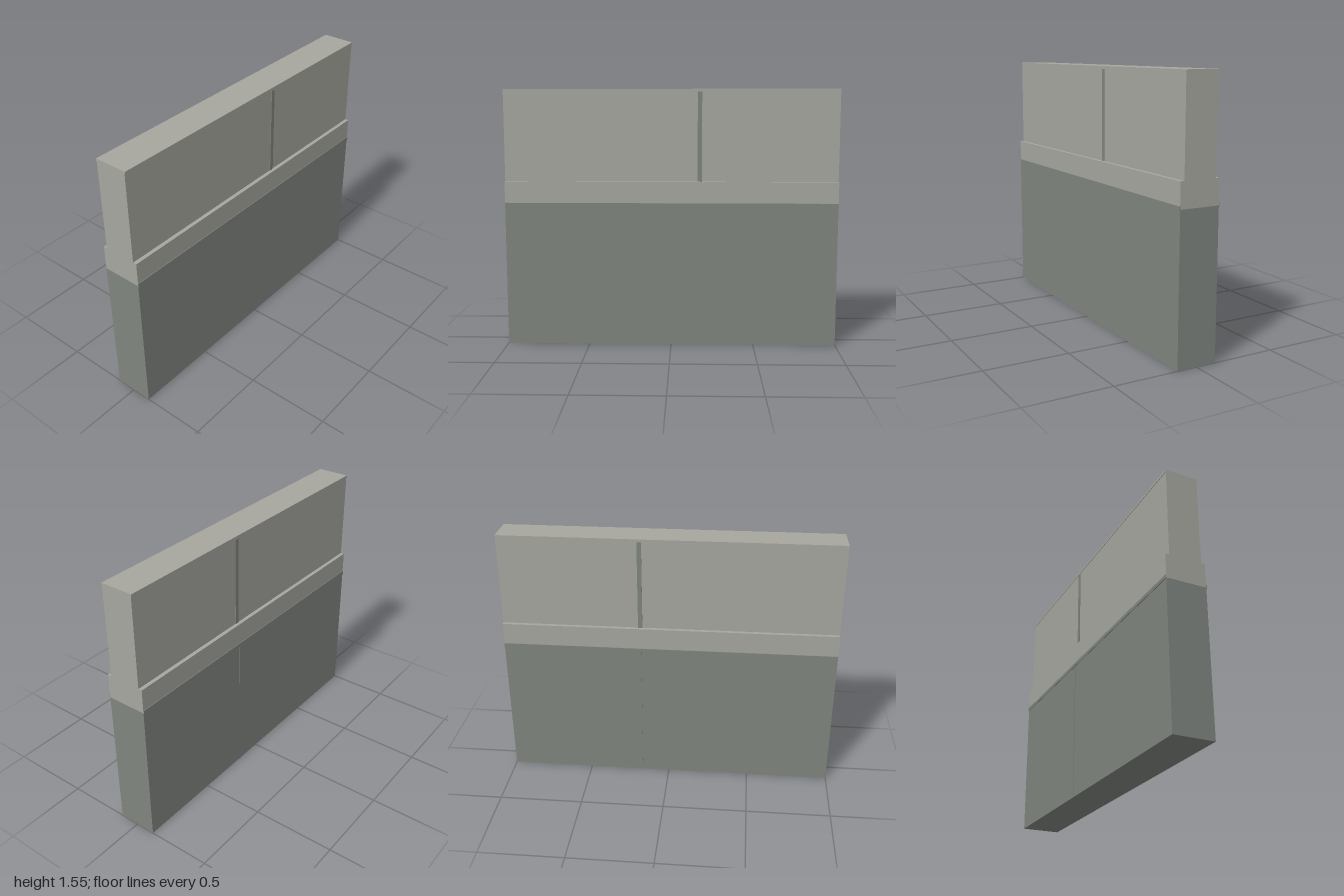
import * as THREE from 'three';

export function createModel() {
  const group = new THREE.Group();
  group.name = 'wallPanel';
  const lightStone = new THREE.MeshStandardMaterial({ color: 0xa6a79f });
  lightStone.name = 'light stone';
  const darkStone = new THREE.MeshStandardMaterial({ color: 0x80857f });
  darkStone.name = 'dark stone';

  // Box given by its extents
  const block = (name, material, [x0, x1], [y0, y1], [z0, z1]) => {
    const mesh = new THREE.Mesh(new THREE.BoxGeometry(x1 - x0, y1 - y0, z1 - z0), material);
    mesh.position.set((x0 + x1) / 2, (y0 + y1) / 2, (z0 + z1) / 2);
    mesh.name = name;
    group.add(mesh);
  };
  const full = [-1, 1];

  // Stepped wall body
  block('lowerWall', darkStone, full, [0, 0.855], [-0.12, 0.12]);
  block('middleBand', lightStone, full, [0.855, 1], [-0.12, 0.12]);
  block('upperWall', lightStone, full, [1, 1.535], [-0.097, 0.097]);
  block('topCap', lightStone, full, [1.535, 1.55], [-0.1, 0.1]);

  // Thin trims on both faces
  for (const side of [1, -1]) {
    const layer = (inner, outer) => (side > 0 ? [inner, outer] : [-outer, -inner]);
    block('bandTrim', darkStone, full, [0.85, 0.872], layer(0.119, 0.124));
    block('upperJointStrip', darkStone, [0.158, 0.184], [1, 1.533], layer(0.096, 0.101));
  }
  // Joint strip on the lower back
  block('lowerJointStrip', darkStone, [0.165, 0.177], [0, 0.85], [-0.123, -0.119]);
  return group;
}
